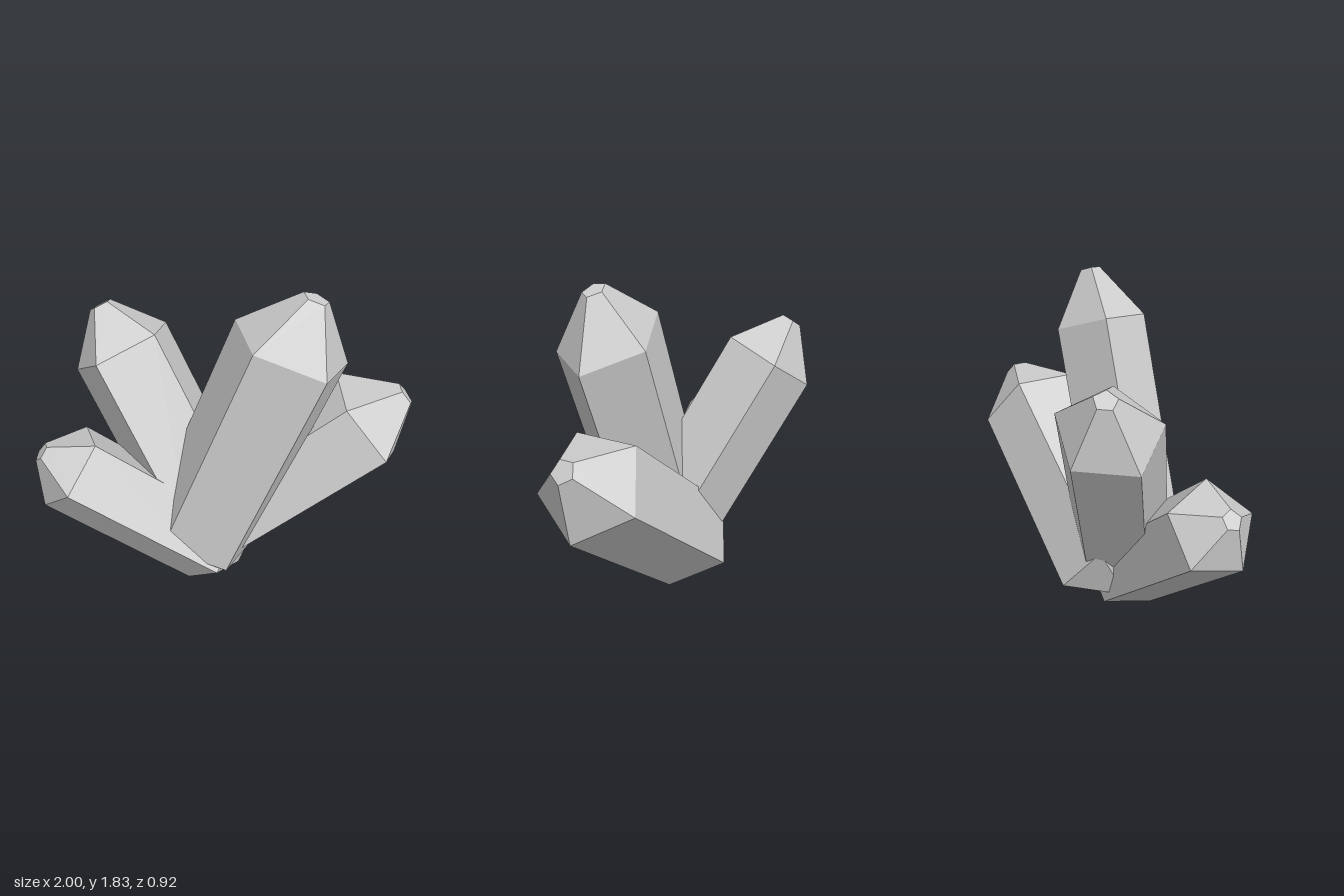
import * as THREE from 'three';

const material = new THREE.MeshStandardMaterial({ color: 0xcccccc, flatShading: true });
const TIP_SCALE = 0.22;

// Each crystal: shoulder ring (counter-clockwise about the axis), axis towards the tip,
// shaft length, and heights of the tapered upper and lower ends.
const crystals = [
  {
    name: 'tallCrystal', axis: [0.355, 0.935, 0], length: 1.337, top: 0.297, bottom: 0.15,
    ring: [[0.475, 1.475, 0.415], [0.605, 1.425, 0.16], [0.34, 1.52, -0.045], [0.045, 1.635, 0.09], [0.125, 1.605, 0.37]],
  },
  {
    name: 'leftCrystal', axis: [0.79, 0.612, -0.045], length: 1.125, top: 0.256, bottom: 0.15,
    ring: [[0.84, 0.87, 0.26], [0.94, 0.715, -0.03], [0.79, 0.88, -0.305], [0.6, 1.145, -0.175], [0.62, 1.14, 0.175]],
  },
  {
    name: 'backCrystal', axis: [-0.435, 0.843, -0.317], length: 1.08, top: 0.255, bottom: 0.15,
    ring: [[-0.67, 1.315, 0.015], [-0.37, 1.43, -0.1], [-0.33, 1.33, -0.4], [-0.61, 1.155, -0.46], [-0.81, 1.15, -0.2]],
  },
  {
    name: 'rightCrystal', axis: [-0.785, 0.618, 0.045], length: 0.968, top: 0.178, bottom: 0.178,
    ring: [[-0.81, 0.8, 0.455], [-0.675, 0.98, 0.26], [-0.76, 0.895, -0.02], [-0.94, 0.665, 0.005], [-0.975, 0.6, 0.29]],
  },
];

// Lofts a faceted shaft with a blunt taper at both ends.
function crystalGeometry({ axis, length, top, bottom, ring }) {
  const dir = new THREE.Vector3(...axis).normalize();
  const shoulder = ring.map((p) => new THREE.Vector3(...p));
  const n = shoulder.length;
  const centre = shoulder.reduce((sum, p) => sum.add(p), new THREE.Vector3()).divideScalar(n);
  const section = (scale, offset) =>
    shoulder.map((p) => p.clone().sub(centre).multiplyScalar(scale).add(centre).addScaledVector(dir, offset));

  const sections = [
    section(TIP_SCALE, -length - bottom),
    section(1, -length),
    section(1, 0),
    section(TIP_SCALE, top),
  ];
  const points = [];

  // Side facets
  for (let s = 0; s < sections.length - 1; s++) {
    const a = sections[s], b = sections[s + 1];
    for (let i = 0; i < n; i++) {
      const j = (i + 1) % n;
      points.push(a[i], a[j], b[j], a[i], b[j], b[i]);
    }
  }
  // Small end facets
  const first = sections[0], last = sections[sections.length - 1];
  for (let i = 1; i < n - 1; i++) {
    points.push(last[0], last[i], last[i + 1], first[0], first[i + 1], first[i]);
  }

  const geometry = new THREE.BufferGeometry().setFromPoints(points);
  geometry.computeVertexNormals();
  return geometry;
}

export function createModel() {
  const group = new THREE.Group();
  group.name = 'crystalCluster';
  for (const crystal of crystals) {
    const mesh = new THREE.Mesh(crystalGeometry(crystal), material);
    mesh.name = crystal.name;
    group.add(mesh);
  }
  return group;
}
